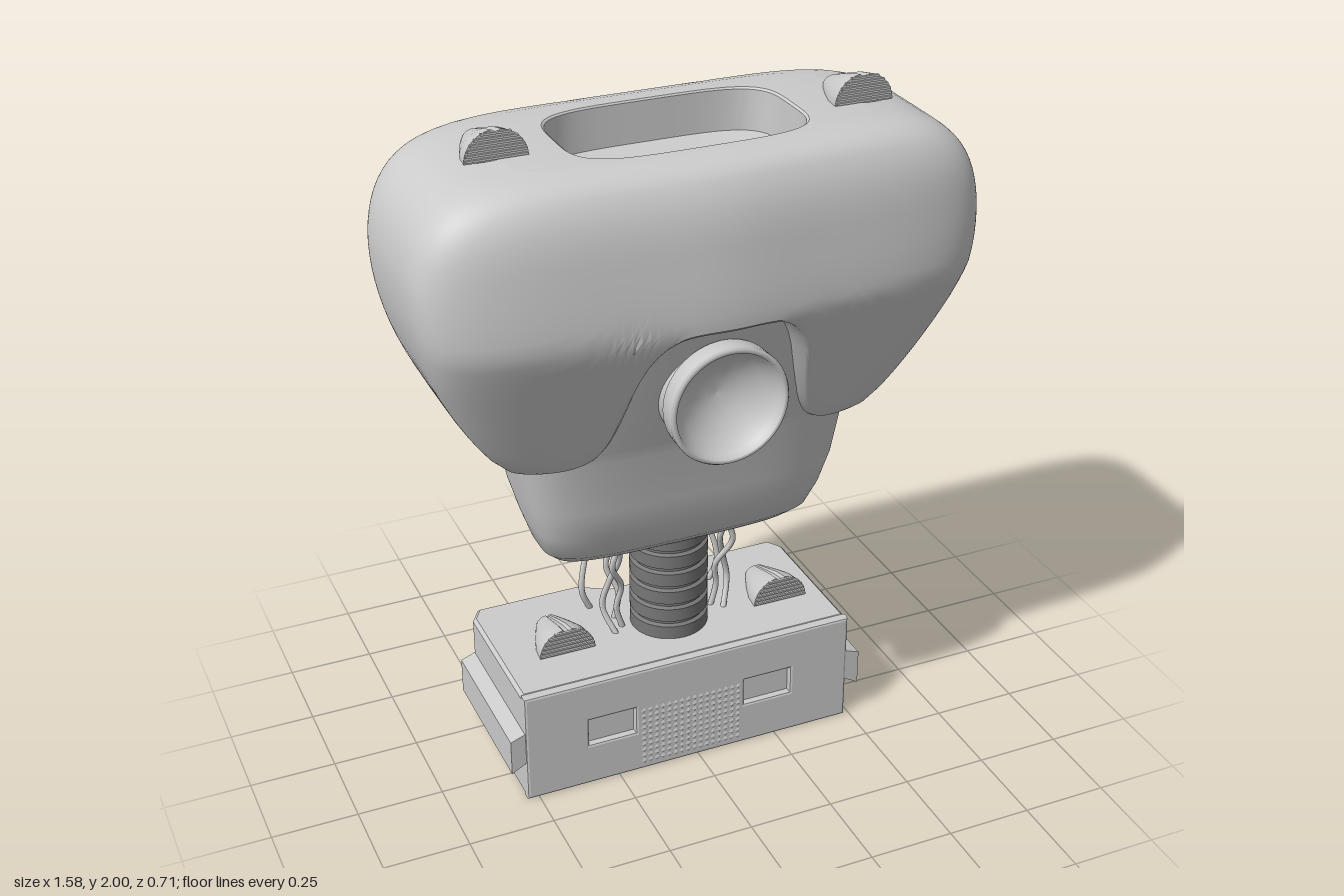
import * as THREE from 'three';
import { mergeGeometries, toCreasedNormals } from 'three/addons/utils/BufferGeometryUtils.js';

const grey = new THREE.MeshStandardMaterial({ color: 0xcccccc, side: THREE.DoubleSide });
const dark = new THREE.MeshStandardMaterial({ color: 0x777777 });
const V = (x, y, z) => new THREE.Vector3(x, y, z);

function add(parent, name, geo, mat = grey) {
  const m = new THREE.Mesh(geo, mat);
  m.name = name;
  parent.add(m);
  return m;
}

// Smooth function through [input, output] pairs
function profile(pts) {
  const n = pts.length;
  const slope = (i) => {
    const a = pts[Math.max(i - 1, 0)], b = pts[Math.min(i + 1, n - 1)];
    return (b[1] - a[1]) / (b[0] - a[0]);
  };
  return (x) => {
    if (x <= pts[0][0]) return pts[0][1];
    if (x >= pts[n - 1][0]) return pts[n - 1][1];
    let i = 0;
    while (x > pts[i + 1][0]) i++;
    const h = pts[i + 1][0] - pts[i][0], t = (x - pts[i][0]) / h, t2 = t * t, t3 = t2 * t;
    return (2 * t3 - 3 * t2 + 1) * pts[i][1] + (t3 - 2 * t2 + t) * h * slope(i)
      + (3 * t2 - 2 * t3) * pts[i + 1][1] + (t3 - t2) * h * slope(i + 1);
  };
}

// Skin closed rings of equal point count
function loft(rings, crease = 0.6) {
  const n = rings[0].length, idx = [];
  for (let r = 0; r < rings.length - 1; r++) {
    for (let j = 0; j < n; j++) {
      const a = r * n + j, b = r * n + (j + 1) % n;
      idx.push(a, a + n, b, b, a + n, b + n);
    }
  }
  const g = new THREE.BufferGeometry().setFromPoints(rings.flat());
  g.setIndex(idx);
  return toCreasedNormals(g, crease);
}

// Rounded-square unit ring point, exponent n
function square(t, n) {
  const c = Math.cos(t), s = Math.sin(t);
  const r = Math.pow(Math.abs(c) ** n + Math.abs(s) ** n, -1 / n);
  return [c * r, s * r];
}

const COLS = 240;
const angles = Array.from({ length: COLS }, (_, i) => (i / COLS) * Math.PI * 2);

// Head shell: a loft whose lower edge follows the front and back notch
function shellGeometry() {
  const width = profile([[1.06, 0.53], [1.1, 0.575], [1.2, 0.645], [1.3, 0.7], [1.4, 0.745], [1.5, 0.775],
    [1.6, 0.79], [1.7, 0.787], [1.8, 0.755], [1.87, 0.69], [1.905, 0.6], [1.92, 0.5]]);
  const front = profile([[1.06, 0.16], [1.28, 0.253], [1.46, 0.33], [1.51, 0.347], [1.7, 0.332], [1.8, 0.315],
    [1.87, 0.285], [1.905, 0.25], [1.92, 0.2]]);
  const back = profile([[1.06, 0.3], [1.4, 0.327], [1.7, 0.345], [1.82, 0.346], [1.88, 0.335], [1.91, 0.31], [1.92, 0.27]]);
  const notch = profile([[0, 1.49], [0.1, 1.49], [0.15, 1.48], [0.2, 1.44], [0.235, 1.37], [0.265, 1.25],
    [0.29, 1.15], [0.32, 1.095], [0.37, 1.067], [0.43, 1.06], [0.6, 1.06]]);
  const point = (t, y) => {
    const [c, s] = square(t, 6);
    const x = c * width(y);
    const bulge = 1 - 0.13 * c * c + 0.035 * Math.exp(-((x / 0.2) ** 2));
    return V(x, y, s > 0 ? s * front(y) * bulge : s * back(y));
  };
  const low = angles.map((t) => {
    let a = 1.06, b = 1.5;
    for (let k = 0; k < 30; k++) {
      const m = (a + b) / 2;
      if (m < notch(Math.abs(point(t, m).x))) a = m; else b = m;
    }
    return a;
  });
  const inset = (k, up) => angles.map((t, i) => {
    const p = point(t, low[i]);
    return V(p.x * k, p.y + up, -0.05 + (p.z + 0.05) * k);
  });
  const rings = [inset(0.85, 0.01), inset(0.985, 0)];
  const levels = 32;
  for (let k = 0; k <= levels; k++) {
    const v = Math.sin((k / levels) * Math.PI / 2);
    rings.push(angles.map((t, i) => point(t, low[i] + 0.008 + (1.92 - low[i] - 0.008) * v)));
  }
  // Top opening, its wall and dished floor
  for (const [k, y] of [[1.02, 1.92], [1, 1.915], [0.99, 1.8], [0.8, 1.79], [0.4, 1.775], [0, 1.77]]) {
    rings.push(angles.map((t) => {
      const [c, s] = square(t, 4);
      return V(c * 0.33 * k, y, -0.028 + s * 0.19 * k);
    }));
  }
  return loft(rings);
}

// Inner body below and behind the shell
function bodyGeometry() {
  const rows = [[0.67, 0, -0.07, 0.07], [0.67, 0.31, -0.02, 0.13], [0.685, 0.37, 0.03, 0.18], [0.72, 0.405, 0.07, 0.215],
    [0.8, 0.432, 0.112, 0.253], [0.9, 0.46, 0.138, 0.28], [1.06, 0.488, 0.155, 0.295], [1.1, 0.495, 0.168, 0.297],
    [1.3, 0.51, 0.227, 0.305], [1.52, 0.53, 0.295, 0.312], [1.52, 0, 0, 0]];
  return loft(rows.map(([y, w, f, b]) => angles.map((t) => {
    const [c, s] = square(t, 4);
    const mid = (f - b) / 2, half = (f + b) / 2;
    return V(c * w, y, mid + s * half);
  })), 0.7);
}

// Tapered half-dome lamp with a top groove and a slatted front
function makeLamp(name, x, y, z) {
  const g = new THREE.Group();
  g.name = name;
  const arc = Array.from({ length: 41 }, (_, i) => (i / 40) * Math.PI);
  const rows = [[0, 0, 0], [0, 0.085, 0.082], [-0.05, 0.08, 0.07], [-0.1, 0.064, 0.052], [-0.14, 0.048, 0.037],
    [-0.17, 0.034, 0.026], [-0.17, 0, 0]];
  add(g, 'lampHousing', loft(rows.map(([d, w, h]) => arc.map((t) => {
    const k = Math.abs(t - Math.PI / 2) < 0.1 ? 0.88 : 1;
    return V(Math.cos(t) * w, Math.sin(t) * h * k, d);
  }))));
  const slats = [];
  for (let h = 0.008; h < 0.075; h += 0.013) {
    slats.push(new THREE.BoxGeometry(2 * 0.083 * Math.sqrt(1 - (h / 0.083) ** 2), 0.006, 0.008).translate(0, h, 0.002));
  }
  add(g, 'lampSlats', mergeGeometries(slats));
  g.position.set(x, y, z);
  return g;
}

function polygon(pts) {
  return new THREE.Shape(pts.map(([x, y]) => new THREE.Vector2(x, y)));
}
const rect = (x0, y0, x1, y1) => [[x0, y0], [x1, y0], [x1, y1], [x0, y1]];

function makeBase() {
  const g = new THREE.Group();
  g.name = 'base';
  // Block with a dipped back, drawn in plan (x, -z) and raised
  const plan = polygon([[-0.525, -0.105], [0.475, -0.105], [0.475, 0.305], [0.45, 0.345], [0.14, 0.345],
    [0.055, 0.295], [-0.105, 0.295], [-0.19, 0.345], [-0.5, 0.345], [-0.525, 0.305]]);
  const block = new THREE.ExtrudeGeometry(plan, { depth: 0.33, bevelThickness: 0.01, bevelSize: 0.01, bevelSegments: 1 });
  add(g, 'baseBlock', block.rotateX(-Math.PI / 2).translate(0, 0.012, 0));
  // Front plate with two slots
  const plate = polygon(rect(-0.527, 0.01, 0.477, 0.344));
  for (const [a, b] of [[-0.35, -0.19], [0.14, 0.305]]) {
    plate.holes.push(new THREE.Path(rect(a, 0.13, b, 0.232).map((p) => new THREE.Vector2(...p))));
  }
  add(g, 'frontPlate', new THREE.ExtrudeGeometry(plate,
    { depth: 0.016, bevelThickness: 0.008, bevelSize: 0.008, bevelOffset: 0, bevelSegments: 2 }).translate(0, 0, 0.111));
  // Knurled grip made of small pyramids
  const studs = [];
  for (let i = 0; i < 16; i++) {
    for (let j = 0; j < 10; j++) {
      studs.push(new THREE.ConeGeometry(0.012, 0.006, 4, 1, true).rotateX(Math.PI / 2)
        .translate(-0.173 + i * 0.02, 0.03 + j * 0.02, 0.137));
    }
  }
  add(g, 'knurledGrip', mergeGeometries(studs));
  // Slanted side rails
  for (const s of [-1, 1]) {
    const pts = [[0.5, 0.235], [0.553, 0.215], [0.553, 0.105], [0.5, 0.135]].map(([x, y]) => [s * x - 0.025, y]);
    add(g, s > 0 ? 'leftRail' : 'rightRail',
      new THREE.ExtrudeGeometry(polygon(pts), { depth: 0.44, bevelEnabled: false }).translate(0, 0, -0.31));
  }
  return g;
}

export function createModel() {
  const model = new THREE.Group();
  model.name = 'robotHead';
  add(model, 'headShell', shellGeometry());
  add(model, 'innerBody', bodyGeometry());

  // Eye tube with a concave lens
  const eye = [[0.155, 0.1], [0.155, 0.26], [0.168, 0.27], [0.17, 0.322], [0.165, 0.33], [0.154, 0.33], [0.148, 0.31],
    [0.12, 0.277], [0.07, 0.25], [0.03, 0.24], [0, 0.237]].map((p) => new THREE.Vector2(...p));
  const eyeGeo = new THREE.LatheGeometry(eye, 64).rotateX(Math.PI / 2).translate(0, 1.26, 0);
  add(model, 'eye', eyeGeo);

  // Ribbed neck
  const ribs = [];
  for (let y = 0.34; y < 0.69; y += 0.06) {
    for (const [r, d] of [[0.104, 0], [0.104, 0.008], [0.115, 0.013], [0.115, 0.054], [0.104, 0.059]]) {
      ribs.push(new THREE.Vector2(r, y + d));
    }
  }
  add(model, 'neck', toCreasedNormals(new THREE.LatheGeometry(ribs, 40), 0.5).translate(0, 0, -0.085), dark);

  // Loose cables on both sides of the neck
  const cables = [
    [[0.15, 0.7, -0.05], [0.19, 0.6, -0.05], [0.15, 0.5, -0.085], [0.16, 0.42, -0.1], [0.14, 0.34, -0.1]],
    [[0.19, 0.7, -0.04], [0.16, 0.61, -0.07], [0.18, 0.52, -0.1], [0.2, 0.43, -0.11], [0.17, 0.34, -0.07]],
    [[0.14, 0.72, -0.15], [0.13, 0.62, -0.17], [0.16, 0.52, -0.18], [0.13, 0.43, -0.16], [0.15, 0.34, -0.15]],
    [[0.17, 0.78, -0.24], [0.18, 0.71, -0.275], [0.16, 0.64, -0.27], [0.2, 0.53, -0.24], [0.22, 0.42, -0.225], [0.19, 0.34, -0.23]],
  ];
  for (const s of [-1, 1]) {
    for (const c of cables) {
      const path = new THREE.CatmullRomCurve3(c.map(([x, y, z]) => V(s * x, y, z)));
      add(model, 'cable', new THREE.TubeGeometry(path, 32, 0.009, 8));
    }
    const side = s > 0 ? 'left' : 'right';
    model.add(makeLamp(side + 'TopLamp', s * 0.51, 1.917, 0.04));
    model.add(makeLamp(side + 'BaseLamp', s * 0.34, 0.354, -0.03));
  }
  model.add(makeBase());
  return model;
}
